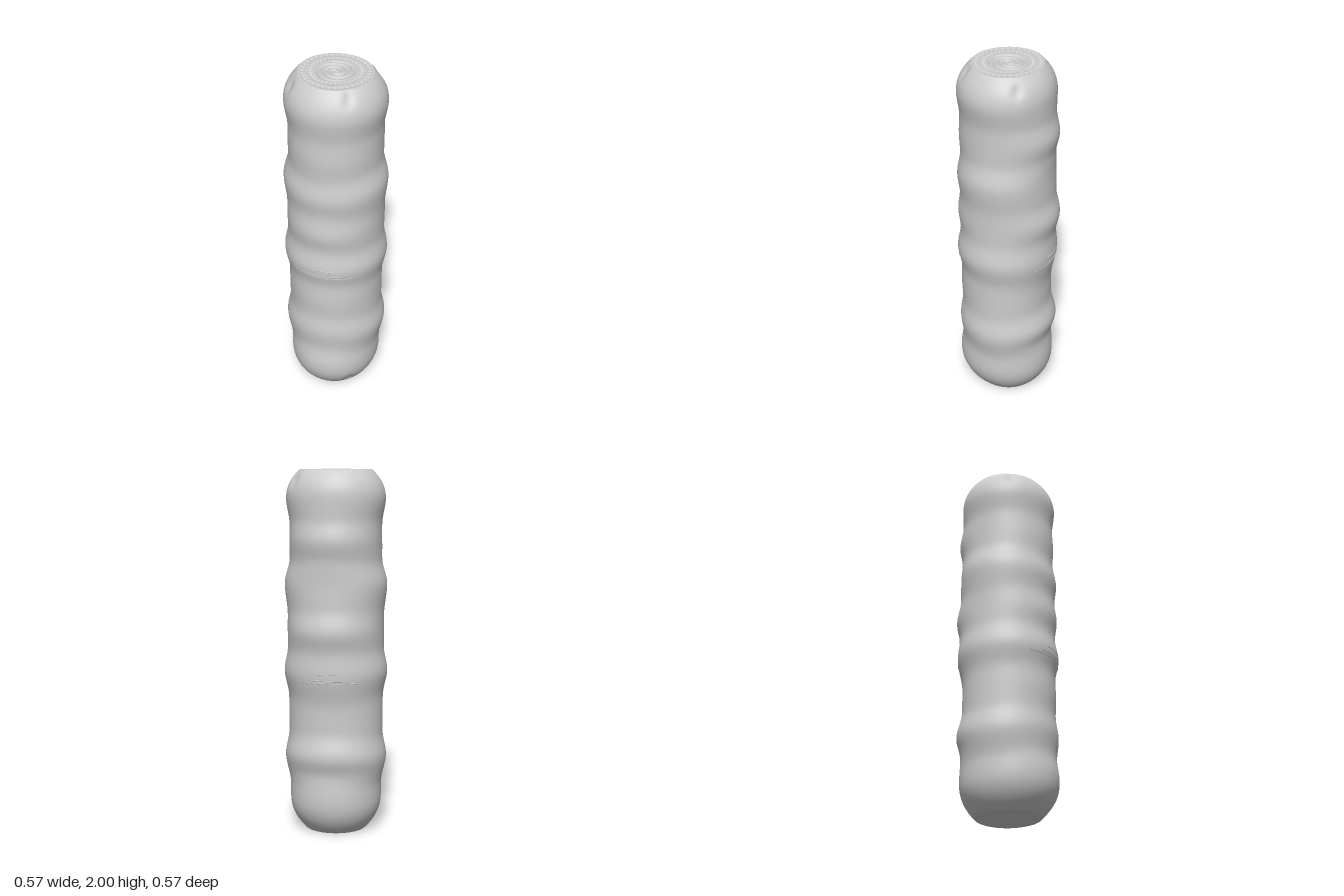
import * as THREE from 'three';

const SEG = 180, CAP_ROWS = 50, SIDE_ROWS = 120;

// Radius keys [height, radius] along the sides, front and back
const SIDES = [[0, .254], [.25, .254], [.42, .282], [.55, .262], [.75, .262], [.9, .286], [1.03, .266],
  [1.2, .266], [1.38, .283], [1.52, .254], [1.7, .253], [1.85, .273], [2, .27]];
const FRONT = [[0, .28], [.2, .283], [.32, .268], [.44, .278], [.56, .265], [.67, .27], [.78, .266], [.9, .286],
  [1.02, .268], [1.13, .282], [1.25, .268], [1.36, .28], [1.48, .263], [1.6, .269], [1.71, .264], [1.85, .277], [2, .272]];
const BACK = [[0, .25], [.2, .252], [.33, .244], [.44, .268], [.58, .236], [.7, .236], [.9, .266], [1.01, .26],
  [1.13, .282], [1.26, .255], [1.4, .25], [1.5, .252], [1.62, .272], [1.74, .25], [1.85, .25], [2, .25]];

function ease(keys, y) {
  for (let i = 1; i < keys.length; i++) {
    const [y0, r0] = keys[i - 1], [y1, r1] = keys[i];
    if (y <= y1) return r0 + (r1 - r0) * THREE.MathUtils.smoothstep(y, y0, y1);
  }
  return keys[keys.length - 1][1];
}

// Thumb dents on the shoulders: [angle, height]
const DENTS = [[-.57, 1.94], [2.6, 1.94], [1.0, 1.96], [.95, .06]];

// Body radius at an angle (0 = +x, PI/2 = +z) and a height
function radius(a, y) {
  const s = Math.sin(a) ** 2;
  let r = (1 - s) * ease(SIDES, y) + s * ease(a % (2 * Math.PI) < Math.PI ? FRONT : BACK, y);
  const top = Math.max(0, 1 - (2 - y) / .17), bottom = Math.max(0, 1 - y / .2);
  r *= 1 - .27 * top ** 2.5 - .33 * bottom ** 2.5;
  for (const [da, dy] of DENTS) {
    const turn = Math.atan2(Math.sin(a - da), Math.cos(a - da)) * .22;
    r -= .014 * Math.exp(-((turn / .026) ** 2) - ((y - dy) / .032) ** 2);
  }
  return r;
}

// Depth of the relief on the end faces: two-armed spiral and two rings of beads
function relief(a, r) {
  if (r < .115) {
    const fade = 1 - THREE.MathUtils.smoothstep(r, .1, .115);
    return .004 * (1 - Math.cos(2 * a + 2 * Math.PI * r / .0175 / 2)) * Math.min(1, r / .012) * fade;
  }
  for (const start of [.117, .158]) {
    const t = (r - start) / .036;
    if (t > 0 && t < 1) return .004 * Math.sin(Math.PI * t) ** 2 * (1 - Math.cos(36 * a));
  }
  return 0;
}

function bodyGeometry() {
  const pos = [0, 0, 0], index = [];
  const ring = (scale, y, depth) => {
    for (let i = 0; i < SEG; i++) {
      const a = i / SEG * 2 * Math.PI, r = radius(a, y) * scale;
      pos.push(r * Math.cos(a), y + depth(a), r * Math.sin(a));
    }
  };
  // Bottom face, wavy side, top face
  for (let j = 1; j < CAP_ROWS; j++) ring(j / CAP_ROWS, 0, a => relief(-a, j / CAP_ROWS * .2));
  for (let j = 0; j <= SIDE_ROWS; j++) ring(1, 1 - Math.cos(j / SIDE_ROWS * Math.PI), () => 0);
  for (let j = CAP_ROWS - 1; j > 0; j--) ring(j / CAP_ROWS, 2, a => -relief(a, j / CAP_ROWS * .2));
  pos.push(0, 2, 0);

  const rows = (pos.length / 3 - 2) / SEG, last = pos.length / 3 - 1;
  for (let i = 0; i < SEG; i++) {
    const n = (i + 1) % SEG;
    index.push(0, 1 + i, 1 + n);
    for (let j = 0; j < rows - 1; j++) {
      const p = 1 + j * SEG, q = p + SEG;
      index.push(p + i, q + i, p + n, p + n, q + i, q + n);
    }
    const p = 1 + (rows - 1) * SEG;
    index.push(p + i, last, p + n);
  }
  const geo = new THREE.BufferGeometry();
  geo.setAttribute('position', new THREE.Float32BufferAttribute(pos, 3));
  geo.setIndex(index);
  geo.computeVertexNormals();
  return geo;
}

// Fine raised seam that hugs the body around an angle
function seamGeometry(middle, half, y) {
  const points = [];
  for (let i = 0; i <= 24; i++) {
    const a = middle + half * (i / 12 - 1), r = radius(a, y) - .001;
    points.push(new THREE.Vector3(r * Math.cos(a), y, r * Math.sin(a)));
  }
  return new THREE.TubeGeometry(new THREE.CatmullRomCurve3(points), 48, .003, 6);
}

export function createModel() {
  const group = new THREE.Group();
  const grey = new THREE.MeshStandardMaterial({ color: 0xcccccc });
  grey.name = 'lightGrey';

  const add = (name, geometry) => {
    const mesh = new THREE.Mesh(geometry, grey);
    mesh.name = name;
    group.add(mesh);
  };

  add('wavyBody', bodyGeometry());
  for (const [side, middle] of [['front', Math.PI / 2], ['back', 1.5 * Math.PI]]) {
    add(side + 'LowerSeam', seamGeometry(middle, .66, .86));
    add(side + 'MiddleSeam', seamGeometry(middle, .4, .875));
    add(side + 'UpperSeam', seamGeometry(middle, .25, .91));
  }
  return group;
}
